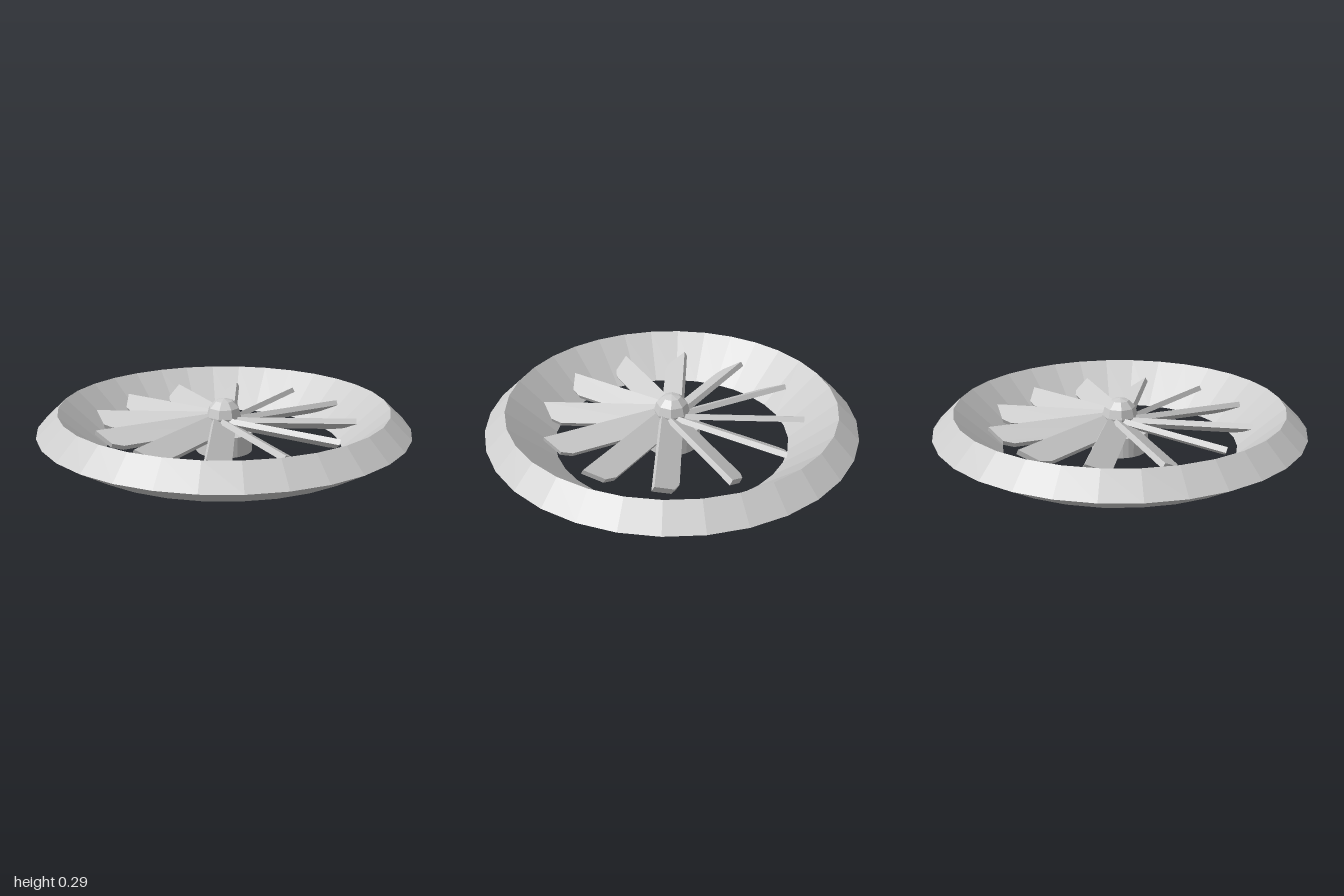
import * as THREE from 'three';

const flat = new THREE.MeshStandardMaterial({ color: 0xcccccc, flatShading: true });

function addPart(parent, name, geometry, y = 0) {
  const mesh = new THREE.Mesh(geometry, flat);
  mesh.name = name;
  mesh.position.y = y;
  parent.add(mesh);
  return mesh;
}

export function createModel() {
  const group = new THREE.Group();
  group.name = 'fan';

  // Outer ring: four-sided section with a funnel-shaped inner face
  const profile = [[0.64, 0.035], [0.84, 0.05], [1, 0.15], [0.885, 0.26], [0.64, 0.035]]
    .map(([r, y]) => new THREE.Vector2(r, y));
  addPart(group, 'ring', new THREE.LatheGeometry(profile, 32));

  // Hub below the blades and domed cap above
  addPart(group, 'hub', new THREE.CylinderGeometry(0.155, 0.155, 0.11, 32), 0.055);
  addPart(group, 'cap', new THREE.SphereGeometry(0.097, 8, 6), 0.193);

  // Blade outline: long strip with a raked tip and a clipped corner
  const outline = [[0, -0.065], [0.6, -0.065], [0.655, -0.04], [0.71, 0.065], [0, 0.065]]
    .map(([r, w]) => new THREE.Vector2(r, w));
  const thickness = 0.03;
  const bladeGeometry = new THREE.ExtrudeGeometry(new THREE.Shape(outline), {
    depth: thickness, bevelEnabled: false,
  });
  bladeGeometry.translate(0, 0, -thickness / 2);
  // Pitch 30 degrees from horizontal, trailing edge (+z) raised
  bladeGeometry.rotateX(Math.PI / 3);
  // The outline normal now points downwards along the strip's width, keeping the raised side on +z

  const blades = new THREE.Group();
  blades.name = 'blades';
  const count = 12;
  for (let i = 0; i < count; i++) {
    const blade = addPart(blades, 'blade', bladeGeometry, 0.153);
    blade.rotation.y = (i / count) * Math.PI * 2;
  }
  group.add(blades);
  return group;
}
